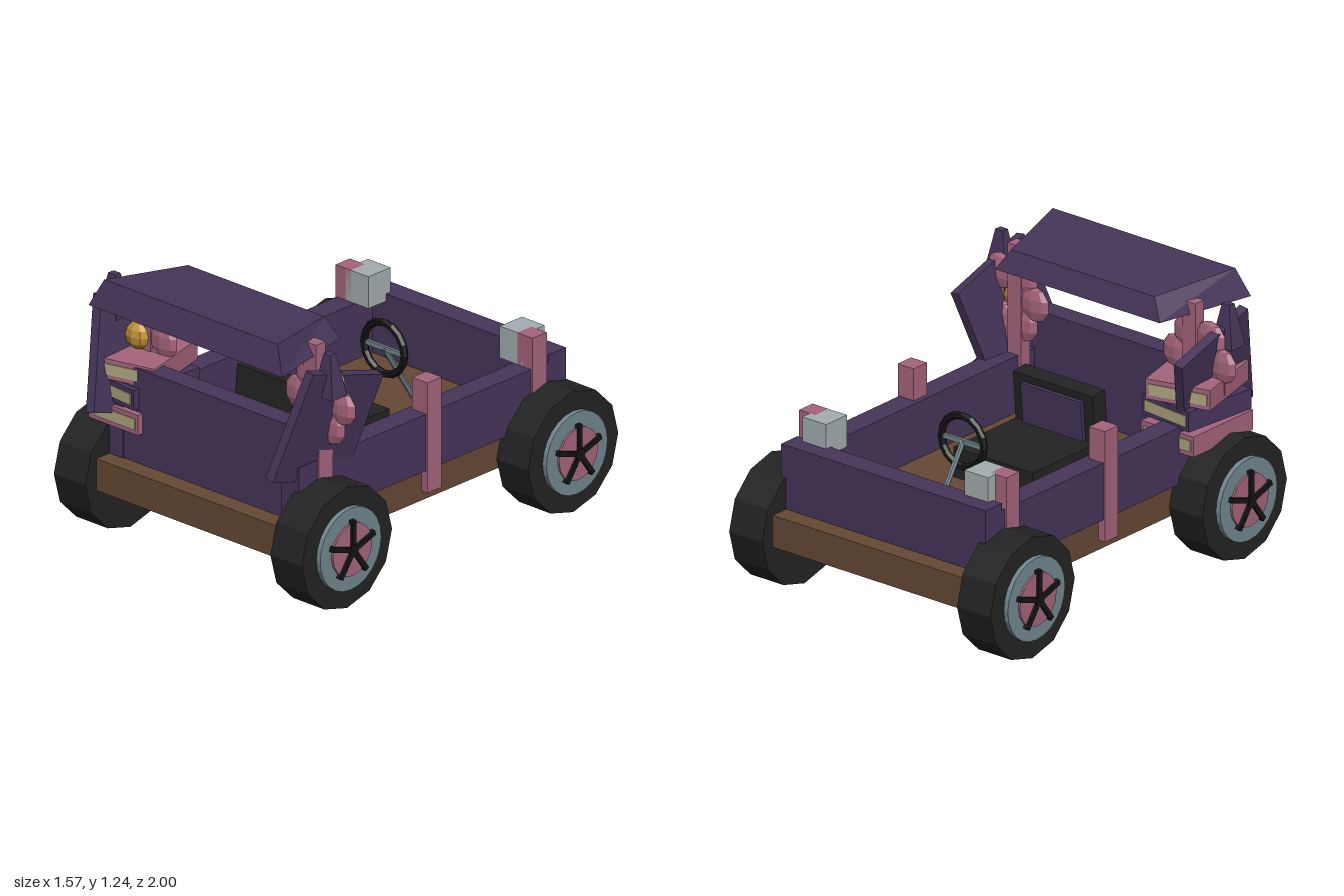
import * as THREE from 'three';

const mat = (name, color) => {
  const m = new THREE.MeshStandardMaterial({ color, flatShading: true });
  m.name = name;
  return m;
};

export function createModel() {
  const root = new THREE.Group();
  root.name = 'buggy';
  const purple = mat('purple', 0x46355a), brown = mat('brown', 0x664834), pink = mat('pink', 0xa5647c);
  const tyreBlack = mat('tyre black', 0x232323), black = mat('black', 0x141414), steel = mat('steel', 0x71868f);
  const grey = mat('light grey', 0xa3adaf), gold = mat('gold', 0xbf8f32), paper = mat('paper', 0xaea680);

  const add = (name, geo, material, x = 0, y = 0, z = 0, parent = root) => {
    const m = new THREE.Mesh(geo, material);
    m.name = name;
    m.position.set(x, y, z);
    parent.add(m);
    return m;
  };
  // Box given by its limits on each axis
  const span = (name, material, x0, x1, y0, y1, z0, z1) =>
    add(name, new THREE.BoxGeometry(x1 - x0, y1 - y0, z1 - z0), material, (x0 + x1) / 2, (y0 + y1) / 2, (z0 + z1) / 2);

  // Chassis and body walls
  span('chassis', brown, -0.55, 0.55, 0.24, 0.39, -0.93, 0.93);
  span('endWall', purple, -0.577, 0.577, 0.388, 0.69, -0.84, -0.73);
  span('tallPanel', purple, -0.53, 0.53, 0.388, 0.835, 0.74, 0.84);

  // Roof: box tapered towards the top and towards the rear
  const roofGeo = new THREE.BoxGeometry(2, 2, 2);
  const rp = roofGeo.attributes.position;
  for (let i = 0; i < rp.count; i++) {
    const top = rp.getY(i) > 0, front = rp.getZ(i) > 0;
    const halfX = (front ? 0.575 : 0.465) - (top ? 0.06 : 0);
    rp.setXYZ(i, Math.sign(rp.getX(i)) * halfX,
      top ? (front ? 1.242 : 1.212) : 1.115,
      front ? (top ? 0.917 : 0.952) : (top ? 0.504 : 0.468));
  }
  roofGeo.computeVertexNormals();
  add('roof', roofGeo, purple);

  // Parts repeated on both sides
  for (const s of [-1, 1]) {
    const side = (name, material, x0, x1, ...rest) =>
      span(name, material, Math.min(s * x0, s * x1), Math.max(s * x0, s * x1), ...rest);
    side('sideWall', purple, 0.47, 0.577, 0.388, 0.655, -0.838, 0.847);
    for (const z of [-0.665, 0, 0.685]) side('sidePost', pink, 0.495, 0.585, 0.285, 0.805, z - 0.045, z + 0.045);
    side('roofPost', pink, 0.455, 0.53, 0.6, 1.17, 0.63, 0.69);
    side('lamp', grey, 0.39, 0.525, 0.655, 0.805, -0.76, -0.62);

    // Leaning side panel with a spike above it
    const panel = add('sidePanel', new THREE.BoxGeometry(0.046, 0.52, 0.466), purple, s * 0.582, 0.805, 0.69);
    panel.rotation.set(-0.3, 0, -s * 0.19);
    const spikeGeo = new THREE.CylinderGeometry(0.03, 0.083, 0.195, 4);
    spikeGeo.rotateY(Math.PI / 4);
    add('spike', spikeGeo, purple, s * 0.64, 1.077, 0.72).scale.z = 0.8;

    // Flower with six flattened petals
    const flower = new THREE.Group();
    flower.name = 'flower';
    flower.position.set(s * 0.53, 0.905, 0.66);
    root.add(flower);
    for (let i = 0; i < 6; i++) {
      const a = i * Math.PI / 3;
      add('petal', new THREE.SphereGeometry(0.085, 8, 5), pink,
        0.125 * Math.cos(a), 0.125 * Math.sin(a), 0, flower).scale.z = 0.36;
    }
    add('flowerCentre', new THREE.SphereGeometry(0.064, 8, 6), gold, 0, 0, 0.03, flower).scale.z = 0.7;

    // Wheels
    for (const z of [-0.715, 0.715]) {
      const wheel = new THREE.Group();
      wheel.name = 'wheel';
      wheel.position.set(s * 0.55, 0.285, z);
      wheel.scale.x = 1;
      wheel.rotation.y = s > 0 ? 0 : Math.PI;
      root.add(wheel);
      const disc = (name, r, x0, x1, n, material) => {
        const g = new THREE.CylinderGeometry(r, r, x1 - x0, n);
        g.rotateZ(Math.PI / 2);
        add(name, g, material, (x0 + x1) / 2, 0, 0, wheel);
      };
      disc('tyre', 0.285, 0, 0.187, 12, tyreBlack);
      disc('rim', 0.193, 0.1, 0.21, 24, steel);
      disc('hubPlate', 0.124, 0.15, 0.22, 16, pink);
      disc('hubCap', 0.028, 0.2, 0.234, 8, black);
      for (let i = 0; i < 5; i++) {
        const g = new THREE.BoxGeometry(0.025, 0.14, 0.024);
        g.translate(0, 0.07, 0);
        add('spoke', g, black, 0.22, 0, 0, wheel).rotation.x = i * Math.PI * 0.4;
      }
    }
  }

  // Seat
  span('seatCushion', tyreBlack, -0.225, 0.225, 0.39, 0.53, -0.1, 0.34);
  const back = new THREE.Group();
  back.name = 'seatBack';
  back.position.set(0, 0.62, 0.355);
  back.rotation.x = -0.08;
  root.add(back);
  add('backrest', new THREE.BoxGeometry(0.45, 0.28, 0.085), tyreBlack, 0, 0, 0, back);
  add('backPad', new THREE.BoxGeometry(0.34, 0.19, 0.02), purple, 0, 0.01, -0.05, back);

  // Steering wheel and column
  add('steeringWheel', new THREE.TorusGeometry(0.12, 0.018, 6, 16), black, 0, 0.685, -0.305);
  add('steeringSpoke', new THREE.BoxGeometry(0.23, 0.022, 0.015), steel, 0, 0.685, -0.305);
  const a = new THREE.Vector3(0, 0.69, -0.3), b = new THREE.Vector3(0, 0.38, -0.5);
  add('steeringColumn', new THREE.TubeGeometry(new THREE.LineCurve3(a, b), 1, 0.013, 6), steel);

  // Stack of books leaning over one end: [y, width, depth, yaw, colour]
  for (const [y, w, d, yaw, cover] of [
    [0.583, 0.295, 0.4, 0, pink], [0.694, 0.285, 0.38, -0.1, purple], [0.798, 0.31, 0.38, 0.245, pink]]) {
    const book = new THREE.Group();
    book.name = 'book';
    book.position.set(-0.508, y, 0.668);
    book.rotation.y = yaw;
    root.add(book);
    add('bookCover', new THREE.BoxGeometry(w, 0.095, d), cover, 0, 0, 0, book);
    add('pages', new THREE.BoxGeometry(w - 0.03, 0.052, d + 0.01), paper, 0, 0, 0, book);
  }
  return root;
}
